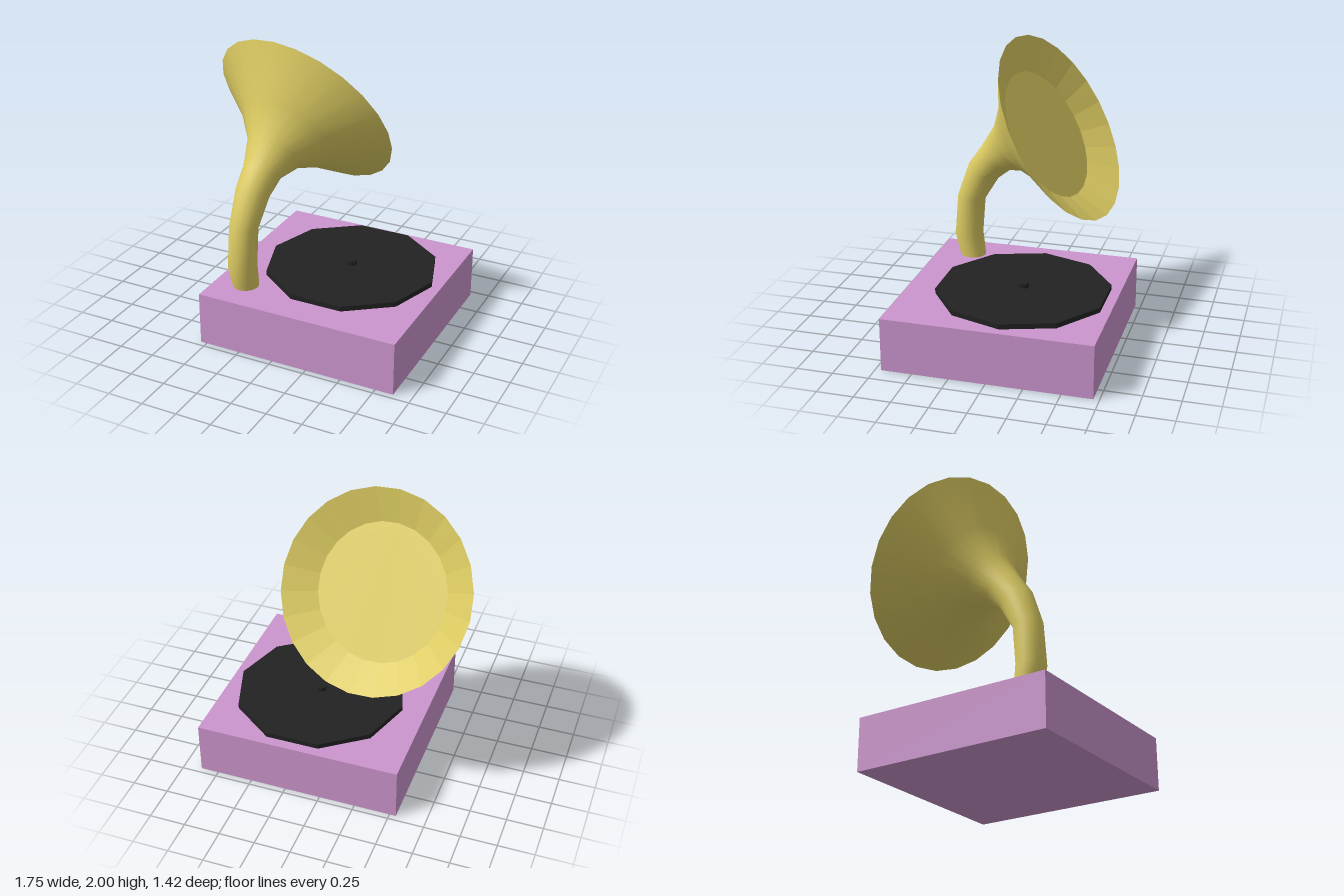
import * as THREE from 'three';

const SIDES = 24;
const YAW = 0.17; // the horn turns slightly towards +x

// One ring of the horn, given its back and front points as [z, y]
function ring([zb, yb], [zf, yf]) {
  const z = (zb + zf) / 2, y = (yb + yf) / 2;
  const dz = (zb - zf) / 2, dy = (yb - yf) / 2, r = Math.hypot(dz, dy);
  const slope = -Math.tan(YAW);
  const points = [];
  for (let j = 0; j < SIDES; j++) {
    const a = (j / SIDES) * Math.PI * 2, c = Math.cos(a), s = r * Math.sin(a);
    points.push(new THREE.Vector3(
      -0.33 + slope * (z - 0.455 + dz * c) + s * Math.cos(YAW),
      y + dy * c,
      z + dz * c + s * Math.sin(YAW)));
  }
  return points;
}

// Skin a list of rings, optionally closing the last one
function loft(rings, cap) {
  const pos = [], index = [];
  rings.flat().forEach(p => pos.push(p.x, p.y, p.z));
  for (let i = 0; i < rings.length - 1; i++) {
    for (let j = 0; j < SIDES; j++) {
      const k = (j + 1) % SIDES;
      const a = i * SIDES + j, b = i * SIDES + k, c = a + SIDES, d = b + SIDES;
      index.push(a, b, d, a, d, c);
    }
  }
  if (cap) {
    const start = (rings.length - 1) * SIDES;
    for (let j = 1; j < SIDES - 1; j++) index.push(start, start + j, start + j + 1);
  }
  const g = new THREE.BufferGeometry();
  g.setAttribute('position', new THREE.Float32BufferAttribute(pos, 3));
  g.setIndex(index);
  return g;
}

export function createModel() {
  const model = new THREE.Group();
  model.name = 'gramophone';

  const material = (name, color) => {
    const m = new THREE.MeshStandardMaterial({ color });
    m.name = name;
    return m;
  };
  const brass = material('brass', 0xdccb62);
  const lilac = material('lilac', 0xcb95cd);
  const black = material('black', 0x222222);

  const add = (name, geometry, mat, x = 0, y = 0, z = 0) => {
    const mesh = new THREE.Mesh(geometry, mat);
    mesh.name = name;
    mesh.position.set(x, y, z);
    model.add(mesh);
    return mesh;
  };
  // Low-poly disc with flat faces and a corner on +x
  const disc = (r, h) => {
    const g = new THREE.CylinderGeometry(r, r, h, 10).rotateY(Math.PI / 2).toNonIndexed();
    g.computeVertexNormals();
    return g;
  };

  // Cabinet
  add('cabinet', new THREE.BoxGeometry(1.42, 0.37, 1.42), lilac, 0.165, 0.185, 0);

  // Record and spindle
  add('record', disc(0.596, 0.035), black, 0.215, 0.3875, -0.075);
  add('spindle', disc(0.036, 0.035), black, 0.215, 0.4175, -0.075);

  // Outside of the horn, from the stem to the rim
  const rim = ring([0.115, 2.0], [-0.56, 0.835]);
  const outer = loft([
    ring([0.54, 0.365], [0.362, 0.365]),
    ring([0.58, 0.52], [0.383, 0.54]),
    ring([0.556, 0.82], [0.362, 0.80]),
    ring([0.465, 1.07], [0.255, 0.975]),
    ring([0.365, 1.21], [0.15, 1.06]),
    ring([0.255, 1.385], [0.0, 1.08]),
    ring([0.18, 1.61], [-0.22, 1.01]),
    rim,
  ]);
  outer.computeVertexNormals();
  add('horn', outer, brass);

  // Faceted inside of the bell, closed by a flat disc
  const inner = loft([rim, ring([0.108, 1.753], [-0.347, 0.957])], true).toNonIndexed();
  inner.computeVertexNormals();
  add('hornMouth', inner, brass);

  return model;
}
